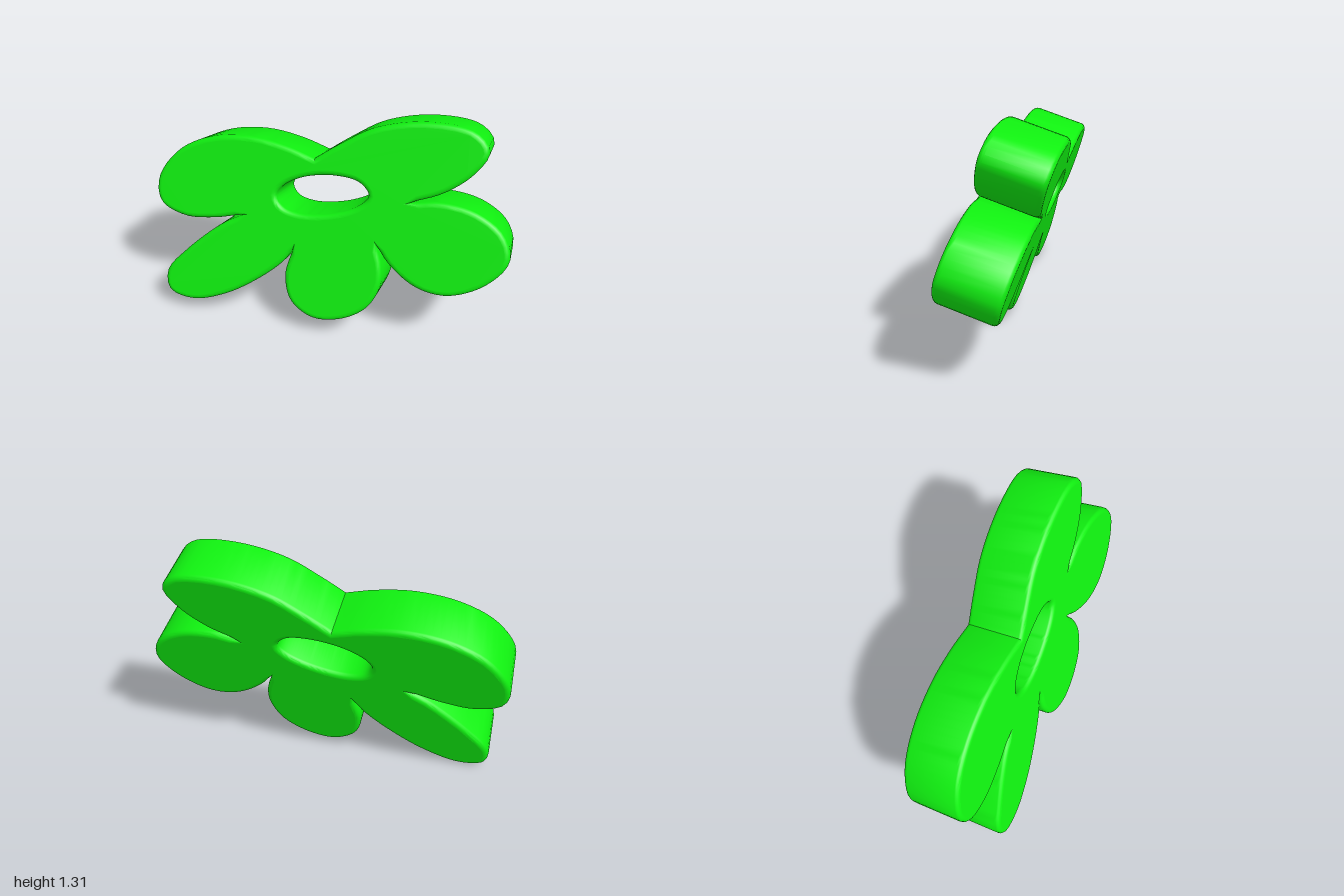
import * as THREE from 'three';
import { toCreasedNormals } from 'three/addons/utils/BufferGeometryUtils.js';

// Tilted plane of the flower: normal, horizontal axis and rising axis
const normal = new THREE.Vector3(0.52, 0.35, 1).normalize();
const across = new THREE.Vector3(normal.z, 0, -normal.x).normalize();
const rise = normal.clone().cross(across);
const PLANE_Z = 0.385, DEPTH = 0.285, BEVEL = 0.03;

// Upright x, y -> coordinates within the tilted plane
function toPlane([x, y]) {
  const b = y / rise.y;
  return new THREE.Vector3((x - rise.x * b) / across.x, b, 0);
}

// Smooth curve through the given points, without its last point
function trace(points, count, closed) {
  const curve = new THREE.CatmullRomCurve3(points.map(toPlane), closed, 'centripetal');
  return curve.getSpacedPoints(count).slice(0, -1).map((p) => new THREE.Vector2(p.x, p.y));
}

// Petals, each from one notch to the next, counter-clockwise
const petals = [
  [[-0.06, 1.04], [-0.22, 1.085], [-0.42, 1.108], [-0.63, 1.07], [-0.79, 0.965], [-0.87, 0.79], [-0.83, 0.655],
    [-0.69, 0.596], [-0.53, 0.61], [-0.365, 0.66]],
  [[-0.365, 0.66], [-0.47, 0.585], [-0.64, 0.39], [-0.725, 0.24], [-0.69, 0.125], [-0.55, 0.093], [-0.37, 0.165],
    [-0.205, 0.3], [-0.09, 0.44], [-0.06, 0.52]],
  [[-0.06, 0.52], [-0.07, 0.36], [-0.01, 0.21], [0.125, 0.13], [0.275, 0.155], [0.39, 0.25], [0.428, 0.39],
    [0.41, 0.5], [0.355, 0.62]],
  [[0.355, 0.62], [0.435, 0.53], [0.6, 0.425], [0.76, 0.41], [0.92, 0.505], [0.993, 0.655], [0.93, 0.79],
    [0.78, 0.885], [0.6, 0.912], [0.46, 0.885]],
  [[0.46, 0.885], [0.6, 0.96], [0.71, 1.08], [0.747, 1.205], [0.66, 1.29], [0.435, 1.31], [0.195, 1.245],
    [0.04, 1.13], [-0.06, 1.04]],
];

// Oval opening in the middle
const opening = [[-0.21, 0.805], [-0.17, 0.75], [-0.07, 0.725], [0.1, 0.757], [0.22, 0.825], [0.25, 0.885],
  [0.19, 0.945], [0.06, 0.962], [-0.1, 0.925], [-0.19, 0.86]];

export function createModel() {
  const shape = new THREE.Shape(petals.flatMap((p) => trace(p, 40, false)));
  shape.holes.push(new THREE.Path(trace(opening, 64, true).reverse()));

  // Thick slab with softly rounded rims
  const slab = new THREE.ExtrudeGeometry(shape, {
    depth: DEPTH, steps: 1, bevelEnabled: true, bevelThickness: BEVEL, bevelSize: BEVEL,
    bevelOffset: -BEVEL, bevelSegments: 5,
  });
  slab.translate(0, 0, -DEPTH);
  const geometry = toCreasedNormals(slab, 0.6);

  // Keep both faces perfectly flat in shading
  const pos = geometry.attributes.position, nor = geometry.attributes.normal;
  for (let i = 0; i < pos.count; i += 3) {
    for (const [z, side] of [[BEVEL, 1], [-DEPTH - BEVEL, -1]]) {
      if ([0, 1, 2].every((k) => Math.abs(pos.getZ(i + k) - z) < 1e-4)) {
        for (let k = 0; k < 3; k++) nor.setXYZ(i + k, 0, 0, side);
      }
    }
  }

  const flower = new THREE.Mesh(geometry, new THREE.MeshStandardMaterial({ color: 0x10f010 }));
  flower.name = 'flower';
  flower.quaternion.setFromRotationMatrix(new THREE.Matrix4().makeBasis(across, rise, normal));
  flower.position.set(0, 0, PLANE_Z);

  const group = new THREE.Group();
  group.name = 'tiltedFlower';
  group.add(flower);

  // Centre and stand on the ground
  const box = new THREE.Box3().setFromObject(group, true);
  const c = box.getCenter(new THREE.Vector3());
  flower.position.sub(new THREE.Vector3(c.x, box.min.y, c.z));
  return group;
}
